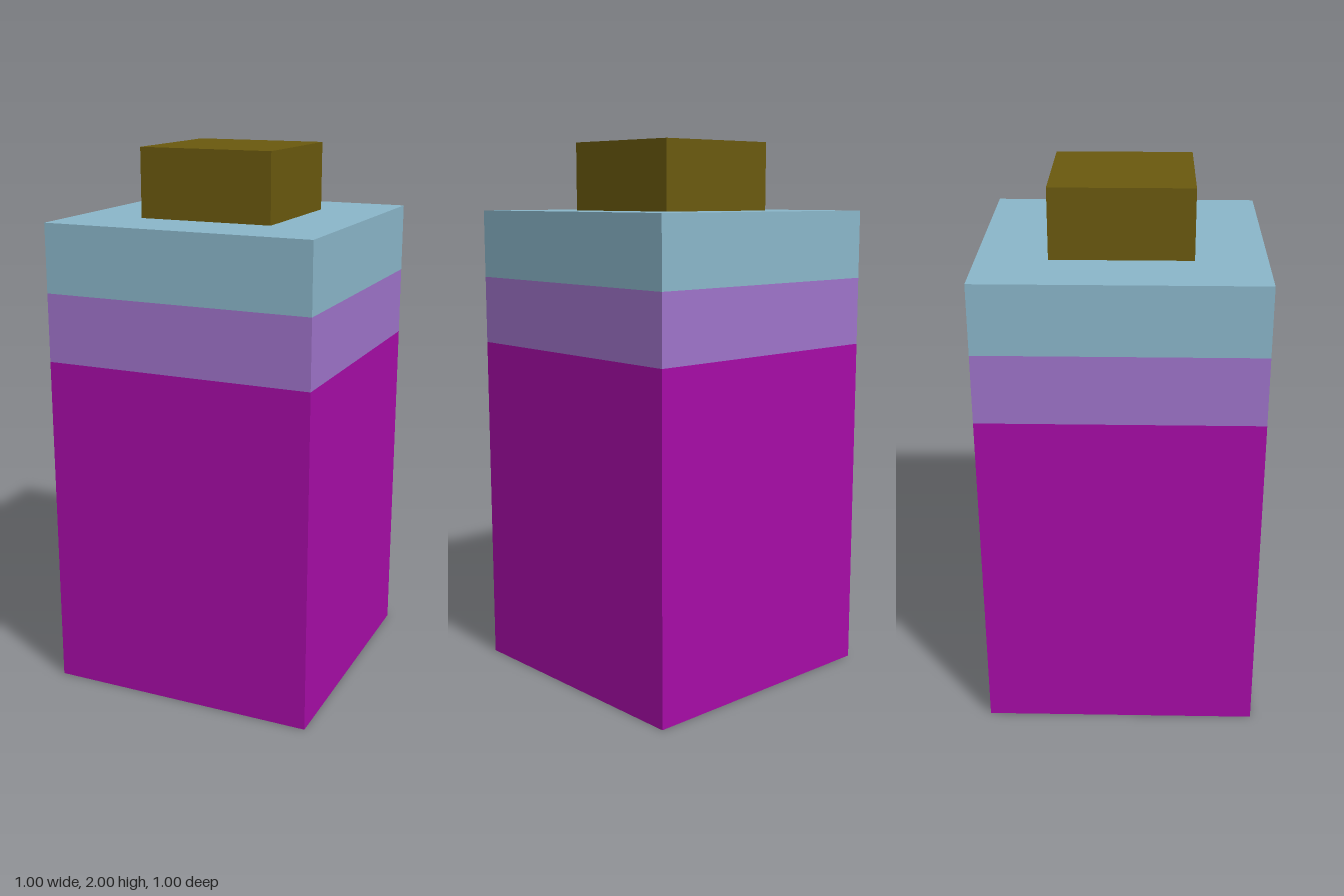
import * as THREE from 'three';

function material(name, color) {
  const m = new THREE.MeshStandardMaterial({ color });
  m.name = name;
  return m;
}

export function createModel() {
  const model = new THREE.Group();
  model.name = 'bottle';

  // Square sections stacked from the ground up: name, width, height, colour
  const sections = [
    ['body', 1, 1.25, material('magenta', 0xa60ca6)],
    ['band', 1, 0.25, material('lavender', 0x9e73c9)],
    ['shoulder', 1, 0.25, material('paleBlue', 0x8ab6c9)],
    ['cap', 0.5, 0.25, material('olive', 0x6a590e)],
  ];

  let y = 0;
  for (const [name, width, height, mat] of sections) {
    const mesh = new THREE.Mesh(new THREE.BoxGeometry(width, height, width), mat);
    mesh.name = name;
    mesh.position.y = y + height / 2;
    model.add(mesh);
    y += height;
  }
  return model;
}
